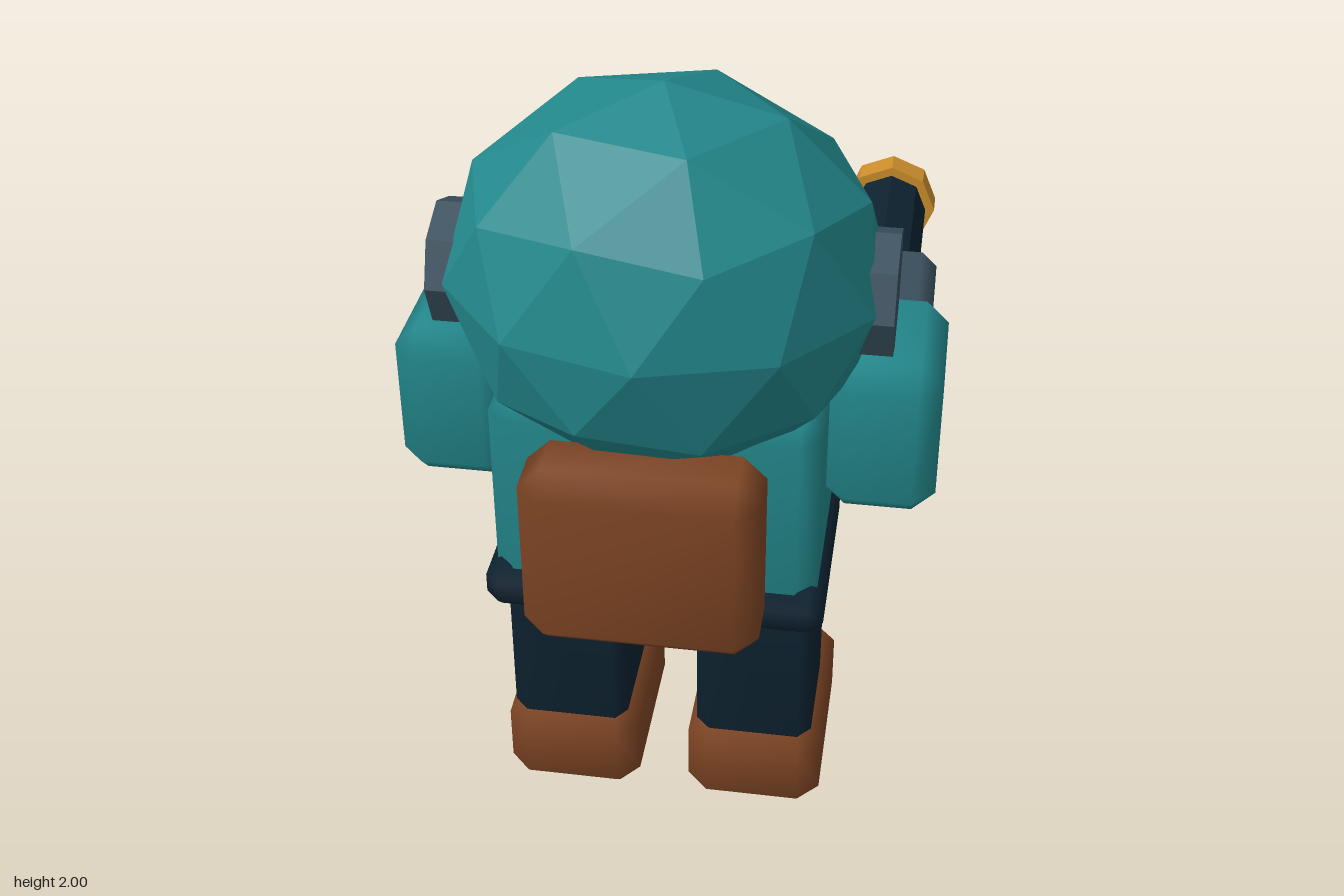
import * as THREE from 'three';
import { mergeVertices } from 'three/addons/utils/BufferGeometryUtils.js';
import { ConvexGeometry } from 'three/addons/geometries/ConvexGeometry.js';

const V = (x, y, z) => new THREE.Vector3(x, y, z);

// Box given by its min/max corners, with chamfered edges and soft normals
function chamferBox([x0, x1], [y0, y1], [z0, z1], bevel) {
  const h = [(x1 - x0) / 2, (y1 - y0) / 2, (z1 - z0) / 2];
  const b = Math.min(bevel, 0.96 * Math.min(...h));
  const points = [];
  for (const sx of [-1, 1]) for (const sy of [-1, 1]) for (const sz of [-1, 1]) {
    for (let axis = 0; axis < 3; axis++) {
      const p = h.map((v, i) => (i === axis ? v : v - b));
      points.push(V(sx * p[0], sy * p[1], sz * p[2]));
    }
  }
  let geo = new ConvexGeometry(points);
  geo.deleteAttribute('normal');
  geo = mergeVertices(geo, 1e-5);
  geo.computeVertexNormals();
  geo.translate((x0 + x1) / 2, (y0 + y1) / 2, (z0 + z1) / 2);
  return geo;
}

// Faceted ball: an icosphere with a vertex at each pole
function facetedBall() {
  const points = [V(0, 1, 0), V(0, -1, 0)];
  const ring = (n, y, startDeg) => {
    const r = Math.sqrt(1 - y * y);
    for (let i = 0; i < n; i++) {
      const a = THREE.MathUtils.degToRad(startDeg + (i * 360) / n);
      points.push(V(r * Math.cos(a), y, r * Math.sin(a)));
    }
  };
  ring(5, 0.8507, 0);
  ring(5, 0.5257, 36);
  ring(5, 0.4472, 0);
  ring(10, 0, 18);
  ring(5, -0.4472, 36);
  ring(5, -0.5257, 0);
  ring(5, -0.8507, 36);
  return new ConvexGeometry(points);
}

// Flat-sided eight-sided cylinder
function octagon(radius, length) {
  const geo = new THREE.CylinderGeometry(radius, radius, length, 8).toNonIndexed();
  geo.computeVertexNormals();
  return geo;
}

export function createModel() {
  const model = new THREE.Group();
  model.name = 'helmetedCannoneer';

  const material = (name, color) => {
    const m = new THREE.MeshStandardMaterial({ color });
    m.name = name;
    return m;
  };
  const teal = material('teal', 0x23888c);
  const navy = material('navy', 0x0d2230);
  const brown = material('brown', 0x7e4524);
  const slate = material('slate', 0x3a505e);
  const gold = material('gold', 0xcc8e2c);
  const cream = material('cream', 0xd6c8a0);

  const add = (name, geo, mat) => {
    const mesh = new THREE.Mesh(geo, mat);
    mesh.name = name;
    model.add(mesh);
    return mesh;
  };
  const box = (name, mat, x, y, z, bevel) => add(name, chamferBox(x, y, z, bevel), mat);
  const pair = (name, mat, [a, b], y, z, bevel) => {
    box('left' + name, mat, [a, b], y, z, bevel);
    box('right' + name, mat, [-b, -a], y, z, bevel);
  };

  // Torso, belt and backpack
  box('torso', teal, [-0.39, 0.39], [0.675, 1.28], [0.215, 0.69], 0.05);
  box('chestPanel', cream, [-0.25, 0.25], [0.89, 1.23], [0.12, 0.24], 0.035);
  box('collar', cream, [-0.24, 0.24], [1.25, 1.36], [0.03, 0.15], 0.04);
  box('belt', navy, [-0.41, 0.41], [0.69, 0.81], [0.19, 0.72], 0.035);
  box('buckle', gold, [-0.08, 0.08], [0.69, 0.81], [0.12, 0.185], 0.032);
  box('backpack', brown, [-0.275, 0.275], [0.75, 1.235], [0.69, 0.91], 0.055);

  // Legs
  pair('Leg', navy, [0.09, 0.385], [0.24, 0.695], [0.29, 0.61], 0.035);
  pair('Boot', brown, [0.065, 0.41], [0, 0.262], [0.095, 0.61], 0.055);
  pair('KneePad', teal, [0.13, 0.345], [0.385, 0.58], [0.215, 0.31], 0.04);

  // Arms and gloves
  pair('Arm', teal, [0.38, 0.65], [0.935, 1.343], [0.14, 0.54], 0.055);
  pair('Glove', brown, [0.36, 0.635], [0.89, 1.16], [0, 0.28], 0.05);
  pair('Thumb', brown, [0.335, 0.45], [0.95, 1.1], [0.05, 0.2], 0.035);

  // Helmet, ear discs and visor
  const helmet = add('helmet', facetedBall(), teal);
  helmet.scale.set(0.515, 0.47, 0.455);
  helmet.position.set(0, 1.53, 0.453);
  for (const side of [1, -1]) {
    const disc = add(side > 0 ? 'leftEarDisc' : 'rightEarDisc', octagon(0.15, 0.1), slate);
    disc.rotation.z = -side * Math.PI / 2;
    disc.position.set(side * 0.48, 1.515, 0.45);
  }
  box('visor', navy, [-0.335, 0.335], [1.355, 1.67], [-0.018, 0.14], 0.075);
  box('visorGlint', teal, [-0.27, 0], [1.56, 1.6], [-0.04, -0.031], 0.003);

  // Arm cannon
  box('cannonBody', slate, [0.303, 0.607], [0.88, 1.135], [-0.45, 0.04], 0.04);
  box('cannonSight', gold, [0.415, 0.495], [1.14, 1.215], [-0.322, -0.172], 0.024);
  const tube = (name, mat, radius, z0, z1) => {
    const mesh = add(name, octagon(radius, z1 - z0), mat);
    mesh.rotation.x = Math.PI / 2;
    mesh.position.set(0.455, 1.037, (z0 + z1) / 2);
  };
  tube('cannonBarrel', navy, 0.104, -0.86, -0.35);
  tube('cannonMuzzle', gold, 0.13, -0.915, -0.838);

  return model;
}
